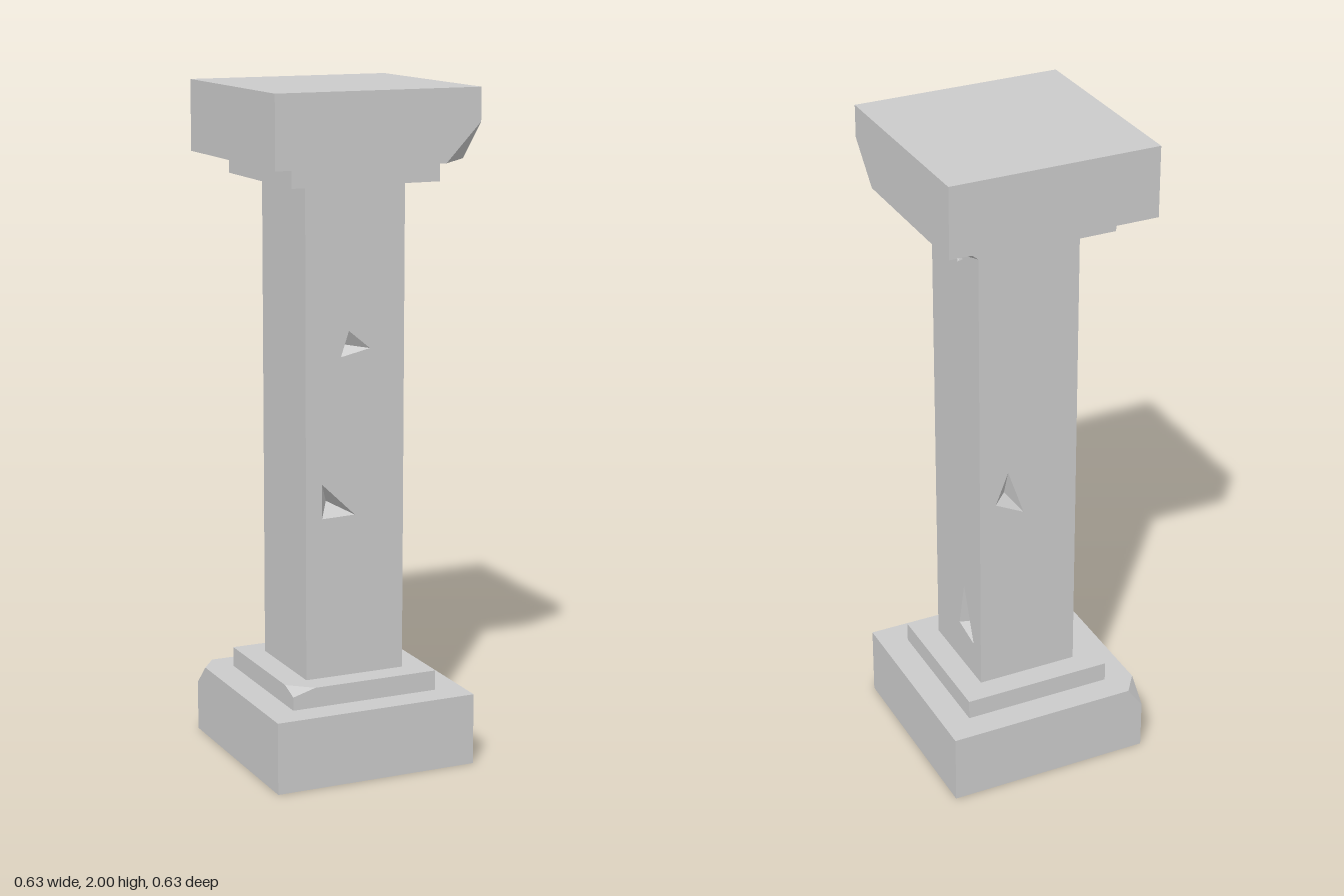
import * as THREE from 'three';
import { ConvexGeometry } from 'three/addons/geometries/ConvexGeometry.js';
import { mergeGeometries } from 'three/addons/utils/BufferGeometryUtils.js';

const material = new THREE.MeshStandardMaterial({ color: 0xcccccc, flatShading: true });

// Square slab of half-width h from y0 to y1, with one corner optionally cut off.
// chip: corner signs s = [x, y, z] and cut lengths along each edge, legs = [x, y, z]
function slab(name, h, y0, y1, chip) {
  const points = [];
  for (const x of [-1, 1]) for (const y of [-1, 1]) for (const z of [-1, 1]) {
    const corner = new THREE.Vector3(x * h, y < 0 ? y0 : y1, z * h);
    if (chip && chip.s[0] === x && chip.s[1] === y && chip.s[2] === z) {
      ['x', 'y', 'z'].forEach((axis, i) => {
        const p = corner.clone();
        p[axis] -= chip.s[i] * chip.legs[i];
        points.push(p);
      });
    } else points.push(corner);
  }
  const mesh = new THREE.Mesh(new ConvexGeometry(points), material);
  mesh.name = name;
  return mesh;
}

// One side of the shaft with triangular pits; each pit is three corners
// (counter-clockwise) followed by its deepest point and depth
function shaftSide(h, y0, y1, pits, angle) {
  const shape = new THREE.Shape([[-h, y0], [h, y0], [h, y1], [-h, y1]].map(p => new THREE.Vector2(...p)));
  const walls = [];
  for (const { rim, apex, depth } of pits) {
    shape.holes.push(new THREE.Path(rim.map(p => new THREE.Vector2(...p))));
    rim.forEach((p, i) => walls.push(...p, 0, ...rim[(i + 1) % 3], 0, ...apex, -depth));
  }
  const parts = [new THREE.ShapeGeometry(shape).toNonIndexed()];
  parts[0].deleteAttribute('uv');
  if (walls.length) {
    const pit = new THREE.BufferGeometry();
    pit.setAttribute('position', new THREE.Float32BufferAttribute(walls, 3));
    pit.computeVertexNormals();
    parts.push(pit);
  }
  return mergeGeometries(parts).translate(0, 0, h).rotateY(angle);
}

export function createModel() {
  const group = new THREE.Group();
  group.name = 'pillar';

  // Stepped foot and head, with broken corners
  group.add(
    slab('base', 0.315, 0, 0.215, { s: [-1, 1, -1], legs: [0.048, 0.065, 0.065] }),
    slab('lowerStep', 0.23, 0.215, 0.275, { s: [-1, 1, 1], legs: [0.07, 0.02, 0.06] }),
    slab('upperStep', 0.23, 1.73, 1.79, { s: [1, -1, -1], legs: [0.04, 0.032, 0.065] }),
    slab('cap', 0.315, 1.79, 2, { s: [1, -1, 1], legs: [0.108, 0.113, 0.108] })
  );

  // Shaft sides in order: front, right (+x), back, left (-x)
  const pits = [
    [
      { rim: [[-0.02, 1.305], [-0.045, 1.23], [0.047, 1.25]], apex: [-0.03, 1.262], depth: 0.035 },
      { rim: [[-0.105, 0.86], [-0.105, 0.757], [0, 0.76]], apex: [-0.075, 0.8], depth: 0.04 }
    ],
    [
      { rim: [[-0.01, 1.688], [0.02, 1.627], [0.053, 1.648]], apex: [0.016, 1.66], depth: 0.025 },
      { rim: [[0.04, 0.558], [0.005, 0.405], [0.106, 0.386]], apex: [0.045, 0.425], depth: 0.035 }
    ],
    [{ rim: [[-0.065, 0.99], [-0.105, 0.89], [-0.015, 0.845]], apex: [-0.062, 0.905], depth: 0.035 }],
    []
  ];
  const sides = pits.map((p, i) => shaftSide(0.156, 0.275, 1.73, p, i * Math.PI / 2));
  const shaft = new THREE.Mesh(mergeGeometries(sides), material);
  shaft.name = 'shaft';
  group.add(shaft);
  return group;
}
